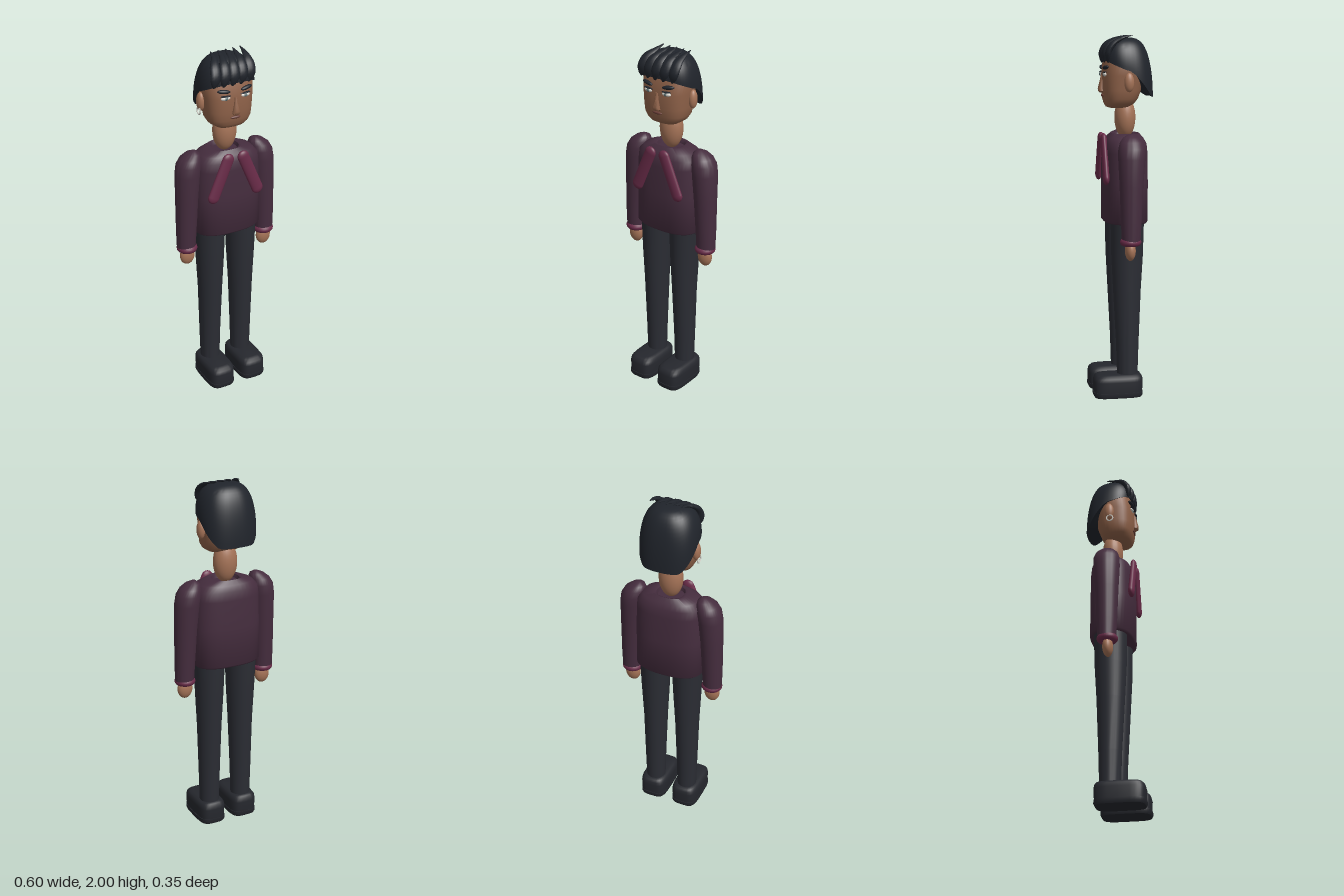
import * as THREE from 'three';
import { toCreasedNormals } from 'three/addons/utils/BufferGeometryUtils.js';

const mat = (name, color) => new THREE.MeshStandardMaterial({ name, color });
const M = {
  jacket: mat('plum jacket', 0x452d3e),
  scarf: mat('burgundy trim', 0x6a2c49),
  trousers: mat('charcoal trousers', 0x2b2d34),
  shoe: mat('dark shoe', 0x25272d),
  hair: mat('black hair', 0x20242b),
  skin: mat('skin', 0xa57357),
  face: mat('face skin', 0x8f6249),
  lip: mat('lips', 0x6b4038),
  eye: mat('eye white', 0xd5d2ca),
  iris: mat('iris', 0x66787a),
};

// Closed-around surface from rows of points; end rows are capped with fans.
function skin(rows, cols, point, crease = 0.9) {
  const pos = [], idx = [];
  for (let i = 0; i < rows; i++)
    for (let j = 0; j < cols; j++) pos.push(...point(i, (j / cols) * Math.PI * 2));
  for (let i = 0; i < rows - 1; i++)
    for (let j = 0; j < cols; j++) {
      const a = i * cols + j, b = i * cols + ((j + 1) % cols);
      idx.push(a, a + cols, b, b, a + cols, b + cols);
    }
  for (const row of [0, rows - 1]) {
    const c = [0, 0, 0], s = row * cols;
    for (let j = 0; j < cols; j++) for (let k = 0; k < 3; k++) c[k] += pos[(s + j) * 3 + k] / cols;
    const m = pos.length / 3;
    pos.push(...c);
    for (let j = 0; j < cols; j++) {
      const a = s + j, b = s + ((j + 1) % cols);
      if (row) idx.push(a, m, b);
      else idx.push(a, b, m);
    }
  }
  const g = new THREE.BufferGeometry();
  g.setAttribute('position', new THREE.Float32BufferAttribute(pos, 3));
  g.setIndex(idx);
  return toCreasedNormals(g, crease);
}

// Rounded-rectangle direction: n = 2 is an ellipse, larger is boxier.
const sup = (v, n) => Math.sign(v) * Math.pow(Math.abs(v), 2 / n);

// Horizontal rings, bottom to top: [x, y, z, radiusX, radiusZ]
const loft = (rings, n = 2, cols = 32) => skin(rings.length, cols, (i, a) => {
  const [x, y, z, rx, rz] = rings[i];
  return [x + rx * sup(Math.cos(a), n), y, z + rz * sup(Math.sin(a), n)];
});

// Tapered strand along a curve, flattened across its width.
function strand(points, width, thick) {
  const curve = new THREE.CatmullRomCurve3(points.map((p) => new THREE.Vector3(...p)));
  const rows = 18;
  return skin(rows, 12, (i, a) => {
    const t = i / (rows - 1), p = curve.getPoint(t), T = curve.getTangent(t);
    const side = new THREE.Vector3(1, 0, 0).addScaledVector(T, -T.x).normalize();
    const n = side.clone().cross(T);
    const k = Math.min(1, 0.1 + t * 1.6) * Math.sqrt(Math.max(0.02, Math.min(1, (1 - t) * 5)));
    return p.addScaledVector(side, Math.cos(a) * width * k)
      .addScaledVector(n, Math.sin(a) * thick * k).toArray();
  });
}

export function createModel() {
  const model = new THREE.Group();
  model.name = 'standingMan';
  const add = (name, geo, material, parent = model) => {
    const m = new THREE.Mesh(geo, material);
    m.name = name;
    parent.add(m);
    return m;
  };
  const ball = (name, material, p, r, parent) => {
    const m = add(name, new THREE.SphereGeometry(1, 24, 16), material, parent);
    m.position.set(...p);
    m.scale.set(...r);
    return m;
  };

  // Torso with a small sunken collar
  add('jacket', loft([
    [0, 0.975, -0.018, 0.185, 0.115], [0, 0.985, -0.018, 0.196, 0.123],
    [0, 1.2, -0.018, 0.194, 0.123], [0, 1.36, -0.018, 0.19, 0.121],
    [0, 1.41, -0.018, 0.184, 0.116], [0, 1.44, -0.018, 0.155, 0.1],
    [0, 1.465, -0.02, 0.09, 0.078], [0, 1.46, -0.022, 0.076, 0.066],
    [0, 1.44, -0.022, 0.07, 0.06],
  ], 2.6, 40), M.jacket);

  // Limbs, mirrored
  for (const s of [1, -1]) {
    const side = s > 0 ? 'left' : 'right';
    add(side + 'Sleeve', loft([
      [s * 0.246, 0.89, -0.012, 0.053, 0.05], [s * 0.244, 1.0, -0.013, 0.057, 0.056],
      [s * 0.236, 1.2, -0.015, 0.064, 0.064], [s * 0.228, 1.34, -0.018, 0.07, 0.073],
      [s * 0.22, 1.395, -0.02, 0.069, 0.073], [s * 0.21, 1.43, -0.02, 0.058, 0.062],
      [s * 0.197, 1.455, -0.02, 0.039, 0.042], [s * 0.19, 1.47, -0.02, 0.012, 0.012],
    ]), M.jacket);
    const cuff = add(side + 'Cuff', new THREE.TorusGeometry(0.037, 0.021, 14, 32), M.scarf);
    cuff.rotation.x = Math.PI / 2;
    cuff.position.set(s * 0.243, 0.893, -0.01);
    ball(side + 'Hand', M.skin, [s * 0.243, 0.845, -0.008], [0.044, 0.056, 0.029]);

    add(side + 'Leg', loft([
      [s * 0.1, 0.1, -0.018, 0.055, 0.057], [s * 0.1, 0.3, -0.018, 0.06, 0.063],
      [s * 0.098, 0.6, -0.016, 0.068, 0.077], [s * 0.0975, 0.8, -0.017, 0.078, 0.088],
      [s * 0.0975, 0.99, -0.018, 0.087, 0.092],
    ]), M.trousers);
    add(side + 'Sole', loft([
      [s * 0.1, 0.005, 0.037, 0.075, 0.132], [s * 0.1, 0.012, 0.037, 0.08, 0.138],
      [s * 0.1, 0.03, 0.037, 0.08, 0.138],
    ].map((r, i) => (i ? r : [r[0], 0, ...r.slice(2)])), 4), M.shoe);
    add(side + 'Shoe', loft([
      [s * 0.1, 0.028, 0.037, 0.077, 0.135], [s * 0.1, 0.09, 0.036, 0.079, 0.137],
      [s * 0.1, 0.11, 0.035, 0.076, 0.133], [s * 0.1, 0.123, 0.032, 0.066, 0.122],
      [s * 0.1, 0.128, 0.03, 0.05, 0.105],
    ], 4), M.shoe);

    // Hanging scarf ends
    const tie = add(side + 'ScarfEnd', new THREE.CapsuleGeometry(0.034, 0.225, 10, 20), M.scarf);
    tie.position.set(s * 0.09, 1.33, 0.105);
    tie.rotation.z = s * 0.4;
    tie.scale.z = 0.52;
  }

  // Neck and head
  ball('neck', M.skin, [0, 1.55, -0.022], [0.068, 0.115, 0.058]);
  const head = new THREE.Group();
  head.name = 'head';
  model.add(head);
  add('skull', loft([
    [0, 1.603, 0.025, 0.05, 0.035], [0, 1.61, 0.022, 0.082, 0.06],
    [0, 1.628, 0.012, 0.11, 0.08], [0, 1.655, 0.006, 0.125, 0.094],
    [0, 1.7, 0, 0.131, 0.105], [0, 1.78, -0.005, 0.138, 0.111],
    [0, 1.86, -0.014, 0.143, 0.11], [0, 1.92, -0.02, 0.115, 0.085],
    [0, 1.95, -0.02, 0.05, 0.04],
  ], 2.7, 40), M.face, head);
  add('nose', loft([
    [0, 1.686, 0.103, 0.014, 0.012], [0, 1.695, 0.107, 0.023, 0.02],
    [0, 1.71, 0.108, 0.02, 0.021], [0, 1.745, 0.105, 0.012, 0.015],
    [0, 1.785, 0.1, 0.009, 0.011],
  ], 2, 16), M.face, head);
  ball('lips', M.lip, [0, 1.672, 0.102], [0.031, 0.008, 0.008], head);
  for (const s of [1, -1]) {
    ball('ear', M.skin, [s * 0.143, 1.745, -0.02], [0.023, 0.052, 0.027], head);
    ball('eye', M.eye, [s * 0.057, 1.787, 0.098], [0.029, 0.011, 0.012], head);
    ball('iris', M.iris, [s * 0.057, 1.787, 0.106], [0.01, 0.0095, 0.006], head);
    const lid = ball('eyelid', M.hair, [s * 0.057, 1.799, 0.1], [0.031, 0.004, 0.011], head);
    lid.rotation.z = s * 0.05;
    const brow = ball('eyebrow', M.hair, [s * 0.067, 1.825, 0.096], [0.036, 0.011, 0.013], head);
    brow.rotation.set(0, s * 0.2, s * 0.12);
  }
  const ring = add('earring', new THREE.TorusGeometry(0.018, 0.004, 8, 20), M.eye, head);
  ring.rotation.y = Math.PI / 2;
  ring.position.set(-0.157, 1.695, -0.015);

  // Hair cap: rim high at the front, low at the nape
  add('hairCap', skin(18, 48, (i, a) => {
    const f = Math.sin(a);
    const rim = f > 0 ? 1.805 + 0.06 * f : 1.805 - 0.14 * Math.min(1, -f * 1.2);
    const th = (Math.max(0, i - 1) / 16) * Math.PI / 2;
    const k = i ? Math.max(0.02, Math.pow(Math.max(0, Math.cos(th)), 0.6)) : 0.72;
    const y = i ? rim + (1.985 - rim) * Math.sin(th) : rim + 0.02;
    return [0.158 * k * sup(Math.cos(a), 2.5), y, -0.027 + (f > 0 ? 0.134 : 0.145) * k * sup(f, 2.5)];
  }), M.hair, head);

  // Swept fringe locks
  for (let i = 0; i < 5; i++) {
    const x = -0.07 + i * 0.044, e = -0.108 + i * 0.051;
    const back = 0.014 * Math.pow((i - 2) / 2, 2);
    add('fringeLock', strand([
      [x, 1.998, -0.045], [x * 0.8 + e * 0.2, 1.982, 0.01], [x * 0.3 + e * 0.7, 1.955, 0.07 - back],
      [e, 1.91, 0.099 - back], [e - 0.012, 1.85, 0.1 - back],
    ], 0.031, 0.017), M.hair, head);
  }
  return model;
}
